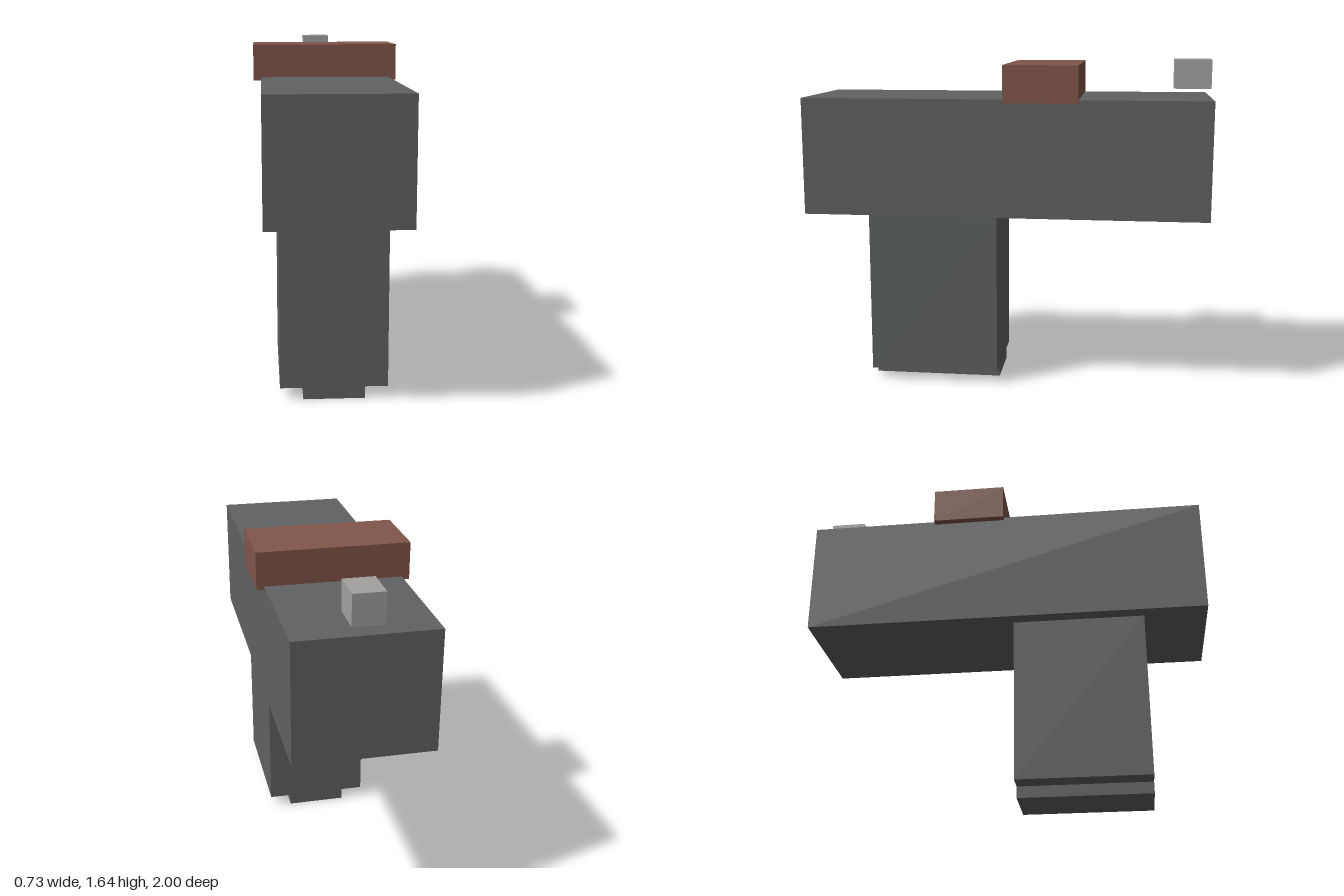
import * as THREE from 'three';

const material = (name, color) => {
  const m = new THREE.MeshStandardMaterial({ color });
  m.name = name;
  return m;
};

export function createModel() {
  const darkGrey = material('darkGrey', 0x5f6264);
  const brown = material('brown', 0x82564a);
  const lightGrey = material('lightGrey', 0xa3a2a0);

  const model = new THREE.Group();
  model.name = 'blockModel';

  // Box centred on x, given its full width and its y and z ranges
  const block = (name, mat, width, [y0, y1], [z0, z1]) => {
    const mesh = new THREE.Mesh(new THREE.BoxGeometry(width, y1 - y0, z1 - z0), mat);
    mesh.name = name;
    mesh.position.set(0, (y0 + y1) / 2, (z0 + z1) / 2);
    model.add(mesh);
  };

  // Long upper body
  block('body', darkGrey, 0.652, [0.877, 1.455], [-1, 1]);
  // Handle with a narrower foot below it
  block('handle', darkGrey, 0.508, [0.057, 0.877], [0.042, 0.692]);
  block('handleFoot', darkGrey, 0.29, [0, 0.057], [0.042, 0.692]);
  // Wide band across the top
  block('topBand', brown, 0.725, [1.44, 1.62], [-0.362, 0]);
  // Small block hovering above the rear end
  block('rearBlock', lightGrey, 0.145, [1.497, 1.64], [-1, -0.82]);

  return model;
}
